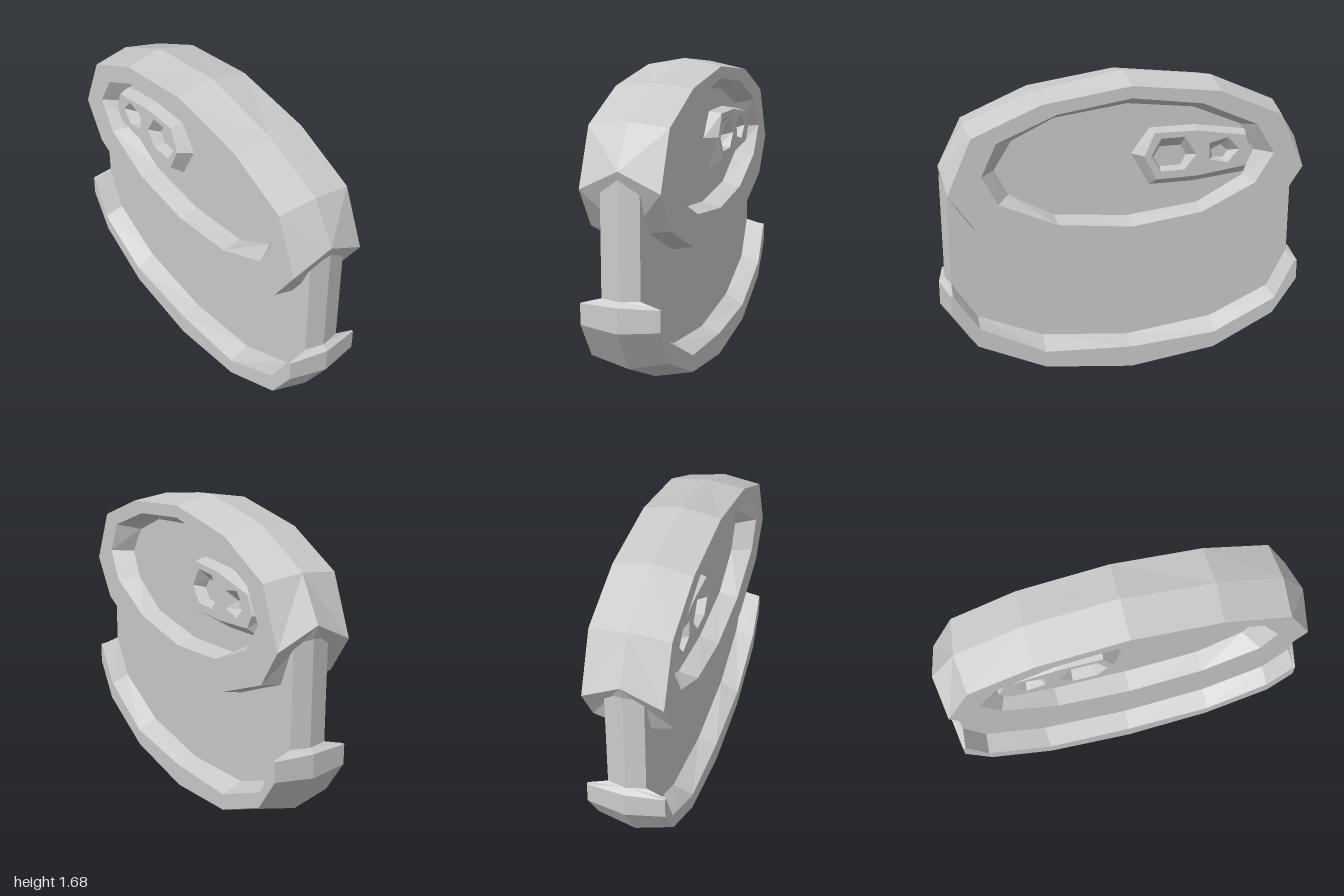
import * as THREE from 'three';

// Turn flat x,y pairs into points at depth z
function loop(z, xy) {
  const pts = [];
  for (let i = 0; i < xy.length; i += 2) pts.push(new THREE.Vector3(xy[i], xy[i + 1], z));
  return pts;
}

// Skin neighbouring counter-clockwise loops; open chains leave the last gap free
function loft(tris, loops, closed = true) {
  for (let k = 0; k < loops.length - 1; k++) {
    const a = loops[k], b = loops[k + 1], n = a.length;
    for (let i = 0; i < (closed ? n : n - 1); i++) {
      const j = (i + 1) % n;
      tris.push([a[i], a[j], b[j]], [a[i], b[j], b[i]]);
    }
  }
}

// Flat front face, optionally with holes
function cap(tris, outline, holes = []) {
  const flat = (l) => l.map((p) => new THREE.Vector2(p.x, p.y));
  const inner = holes.map((h) => h.slice().reverse());
  const all = outline.concat(...inner);
  for (const f of THREE.ShapeUtils.triangulateShape(flat(outline), inner.map(flat))) {
    tris.push(f.map((i) => all[i]));
  }
}

// Build a faceted mesh from the front half and its mirror image in z
function mirroredMesh(name, tris) {
  const pos = [];
  const probe = new THREE.Triangle();
  for (const [a, b, c] of tris) {
    if (probe.set(a, b, c).getArea() < 1e-7) continue;
    for (const p of [a, b, c]) pos.push(p.x, p.y, p.z);
    for (const p of [a, c, b]) pos.push(p.x, p.y, -p.z);
  }
  const geo = new THREE.BufferGeometry();
  geo.setAttribute('position', new THREE.Float32BufferAttribute(pos, 3));
  geo.computeVertexNormals();
  const mesh = new THREE.Mesh(geo, new THREE.MeshStandardMaterial({ color: 0xcccccc, flatShading: true }));
  mesh.name = name;
  return mesh;
}

// Oval lid: bevelled outer rim, flat ring, sloping recess and its floor
function lid() {
  const tris = [];
  const loops = [
    loop(0, [0.97, 1.24, 0.835, 1.455, 0.47, 1.6, -0.015, 1.685, -0.5, 1.63, -0.86, 1.47,
      -1, 1.25, -0.86, 0.905, -0.5, 0.735, -0.015, 0.68, 0.47, 0.735, 0.83, 0.905]),
    loop(0.205, [0.95, 1.14, 0.82, 1.43, 0.46, 1.58, -0.015, 1.647, -0.49, 1.59, -0.835, 1.44,
      -0.97, 1.14, -0.835, 0.935, -0.49, 0.78, -0.015, 0.72, 0.465, 0.78, 0.81, 0.935]),
    loop(0.205, [0.775, 1.225, 0.695, 1.395, 0.38, 1.525, -0.015, 1.583, -0.395, 1.53, -0.7, 1.395,
      -0.8, 1.23, -0.7, 1.07, -0.405, 0.93, -0.015, 0.882, 0.385, 0.93, 0.695, 1.07]),
    loop(0.1, [0.695, 1.225, 0.6, 1.375, 0.375, 1.48, -0.015, 1.53, -0.375, 1.487, -0.64, 1.375,
      -0.72, 1.225, -0.66, 1.085, -0.405, 0.95, -0.015, 0.91, 0.385, 0.95, 0.625, 1.085]),
  ];
  loft(tris, loops);
  cap(tris, loops[3]);
  return mirroredMesh('lid', tris);
}

// Thin wall between lid and base, with a slight ridge along its ends
function wall() {
  const outline = [-0.945, 1.13, -0.945, 0.61, -0.835, 0.39, -0.5, 0.23, -0.015, 0.18,
    0.465, 0.23, 0.815, 0.39, 0.945, 0.61, 0.945, 1.13, 0.8, 0.96, 0.465, 0.8, -0.015, 0.75,
    -0.49, 0.8, -0.82, 0.96];
  const front = loop(0.1, outline);
  const middle = front.map((p) => new THREE.Vector3(p.x * 1.025, p.y > 1.1 ? 1.2 : p.y, 0));
  const tris = [];
  loft(tris, [middle, front]);
  cap(tris, front);
  return mirroredMesh('wall', tris);
}

// Curved lower rim, open at the top
function baseRim() {
  const loops = [
    loop(0, [-1, 0.59, -1, 0.46, -0.85, 0.23, -0.5, 0.065, -0.012, 0, 0.47, 0.065, 0.85, 0.235, 1, 0.46, 1, 0.59]),
    loop(0.205, [-0.97, 0.585, -0.97, 0.475, -0.835, 0.28, -0.49, 0.11, -0.015, 0.05,
      0.465, 0.11, 0.83, 0.28, 0.96, 0.475, 0.96, 0.585]),
    loop(0.205, [-0.955, 0.585, -0.955, 0.585, -0.845, 0.37, -0.49, 0.2, -0.015, 0.17,
      0.465, 0.2, 0.815, 0.38, 0.95, 0.585, 0.95, 0.585]),
    loop(0.1, [-0.945, 0.615, -0.945, 0.615, -0.835, 0.405, -0.5, 0.255, -0.015, 0.2,
      0.465, 0.255, 0.815, 0.41, 0.945, 0.615, 0.945, 0.615]),
  ];
  const tris = [];
  loft(tris, loops, false);
  // Close both upper ends against the wall
  for (const side of [-1, 1]) {
    const ends = loops.map((l) => l[side < 0 ? 0 : l.length - 1]);
    const centre = new THREE.Vector3(side * 0.965, 0.615, 0);
    for (let i = 0; i < 3; i++) {
      tris.push(side < 0 ? [centre, ends[i], ends[i + 1]] : [centre, ends[i + 1], ends[i]]);
    }
    tris.forEach((t, i) => {
      if (i < tris.length - 3) return;
      const n = new THREE.Triangle(...t).getNormal(new THREE.Vector3());
      if (n.y < 0) t.reverse();
    });
  }
  return mirroredMesh('baseRim', tris);
}

// Raised pull tab with a six-sided and a five-sided pocket
function pullTab() {
  const base = loop(0.1, [-0.035, 1.255, -0.135, 1.39, -0.38, 1.39, -0.67, 1.345,
    -0.71, 1.225, -0.67, 1.105, -0.38, 1.075, -0.135, 1.075]);
  const top = loop(0.17, [-0.09, 1.255, -0.145, 1.378, -0.38, 1.375, -0.65, 1.33,
    -0.69, 1.235, -0.65, 1.16, -0.38, 1.125, -0.155, 1.122]);
  const pockets = [
    [loop(0.17, [-0.125, 1.245, -0.18, 1.345, -0.31, 1.345, -0.375, 1.245, -0.31, 1.165, -0.18, 1.165]),
      loop(0.11, [-0.155, 1.23, -0.19, 1.285, -0.305, 1.285, -0.335, 1.23, -0.305, 1.175, -0.19, 1.175])],
    [loop(0.17, [-0.445, 1.3, -0.55, 1.325, -0.615, 1.255, -0.55, 1.185, -0.45, 1.21]),
      loop(0.11, [-0.475, 1.245, -0.525, 1.27, -0.57, 1.235, -0.545, 1.2, -0.485, 1.205])],
  ];
  const tris = [];
  loft(tris, [base, top]);
  cap(tris, top, pockets.map((p) => p[0]));
  for (const p of pockets) {
    loft(tris, p);
    cap(tris, p[1]);
  }
  return mirroredMesh('pullTab', tris);
}

export function createModel() {
  const model = new THREE.Group();
  model.name = 'flatTin';
  model.add(lid(), wall(), baseRim(), pullTab());
  return model;
}
